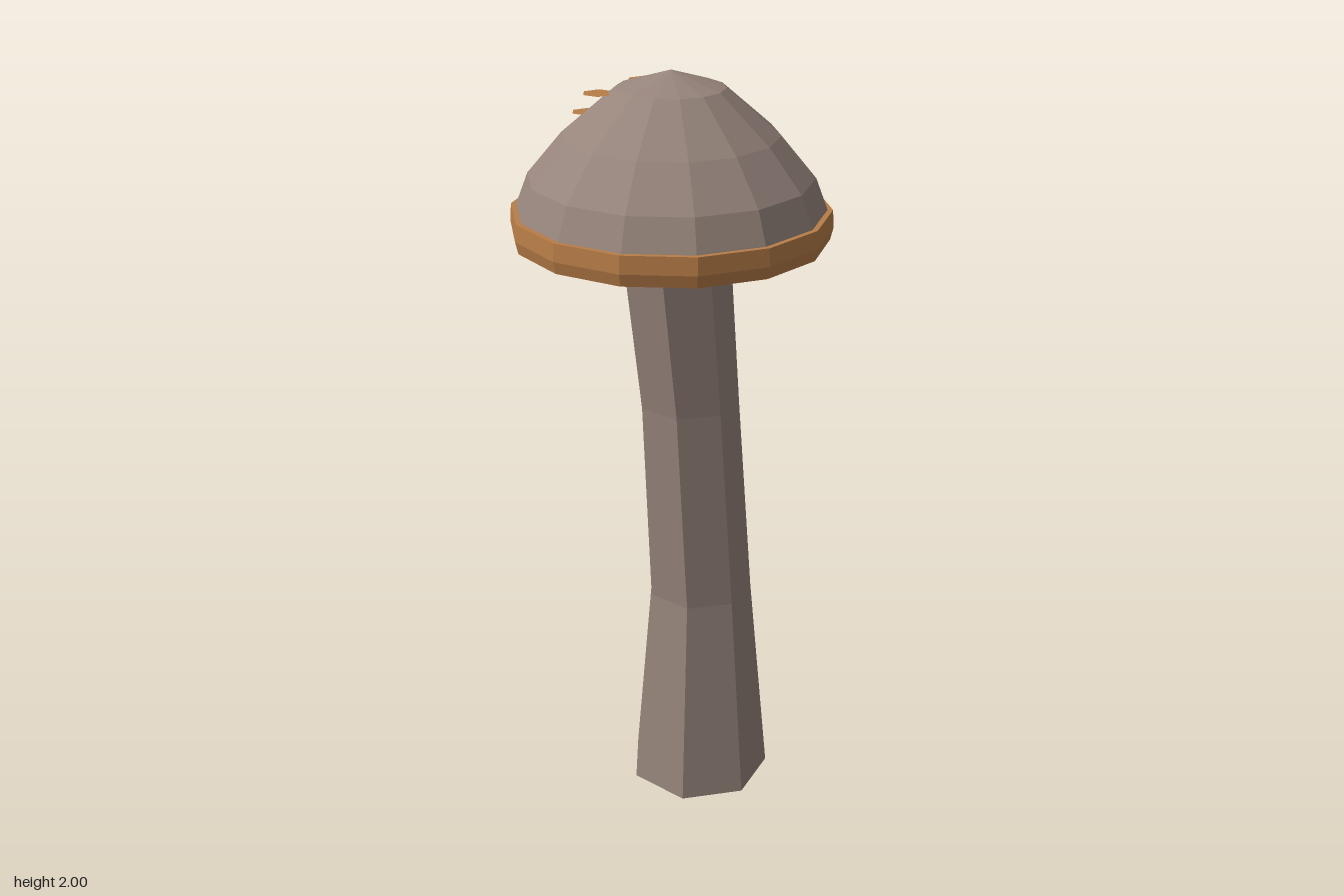
import * as THREE from 'three';

const SIDES = 14;

export function createModel() {
  const group = new THREE.Group();
  group.name = 'mushroom';

  const greyBrown = new THREE.MeshStandardMaterial({ color: 0x97857c, flatShading: true });
  greyBrown.name = 'grey brown';
  const tan = new THREE.MeshStandardMaterial({ color: 0xb87d48, flatShading: true, side: THREE.DoubleSide });
  tan.name = 'tan';

  const add = (name, geometry, material) => {
    const mesh = new THREE.Mesh(geometry, material);
    mesh.name = name;
    group.add(mesh);
    return mesh;
  };

  // Faceted ring swept round the cap's axis, with a corner on the x axis
  const lathe = (points) => new THREE.LatheGeometry(
    points.map(([r, y]) => new THREE.Vector2(r, y)), SIDES, Math.PI / 2);

  // Stem: seven-sided tube whose rings shift and shrink; ring = [x, y, z, radius]
  const rings = [
    [0.027, 0, -0.11, 0.195],
    [0.03, 0.59, -0.1, 0.141],
    [0.018, 1.15, -0.058, 0.13],
    [-0.003, 1.72, 0.005, 0.14],
  ];
  const stem = new THREE.CylinderGeometry(1, 1, 1, 7, 3, false, THREE.MathUtils.degToRad(16.4));
  const pos = stem.attributes.position;
  for (let i = 0; i < pos.count; i++) {
    const [x, y, z, r] = rings[Math.round((pos.getY(i) + 0.5) * 3)];
    pos.setXYZ(i, x + r * pos.getX(i), y, z + r * pos.getZ(i));
  }
  stem.computeVertexNormals();
  add('stem', stem, greyBrown);

  // Cap dome
  add('cap', lathe([[0.378, 1.665], [0.345, 1.75], [0.26, 1.85], [0.13, 1.96], [0, 2]]), greyBrown);

  // Rim band and hollow underside
  add('capRim', lathe([[0.384, 1.6], [0.391, 1.63], [0.388, 1.673], [0.374, 1.673]]), tan);
  add('capUnderside', lathe([[0.08, 1.715], [0.14, 1.71], [0.35, 1.665], [0.384, 1.6]]), tan);

  // Flat hexagonal spots resting on the cap: [x, y, z, radius]
  const spots = [
    [-0.267, 1.86, -0.05, 0.039],
    [-0.132, 1.943, -0.103, 0.045],
    [-0.08, 1.929, -0.167, 0.04],
    [-0.042, 1.939, -0.168, 0.034],
    [-0.147, 1.945, 0.083, 0.04],
  ];
  for (const [x, y, z, r] of spots) {
    const disc = new THREE.CircleGeometry(r, 6).rotateX(-Math.PI / 2);
    add('spot', disc, tan).position.set(x, y, z);
  }

  return group;
}
